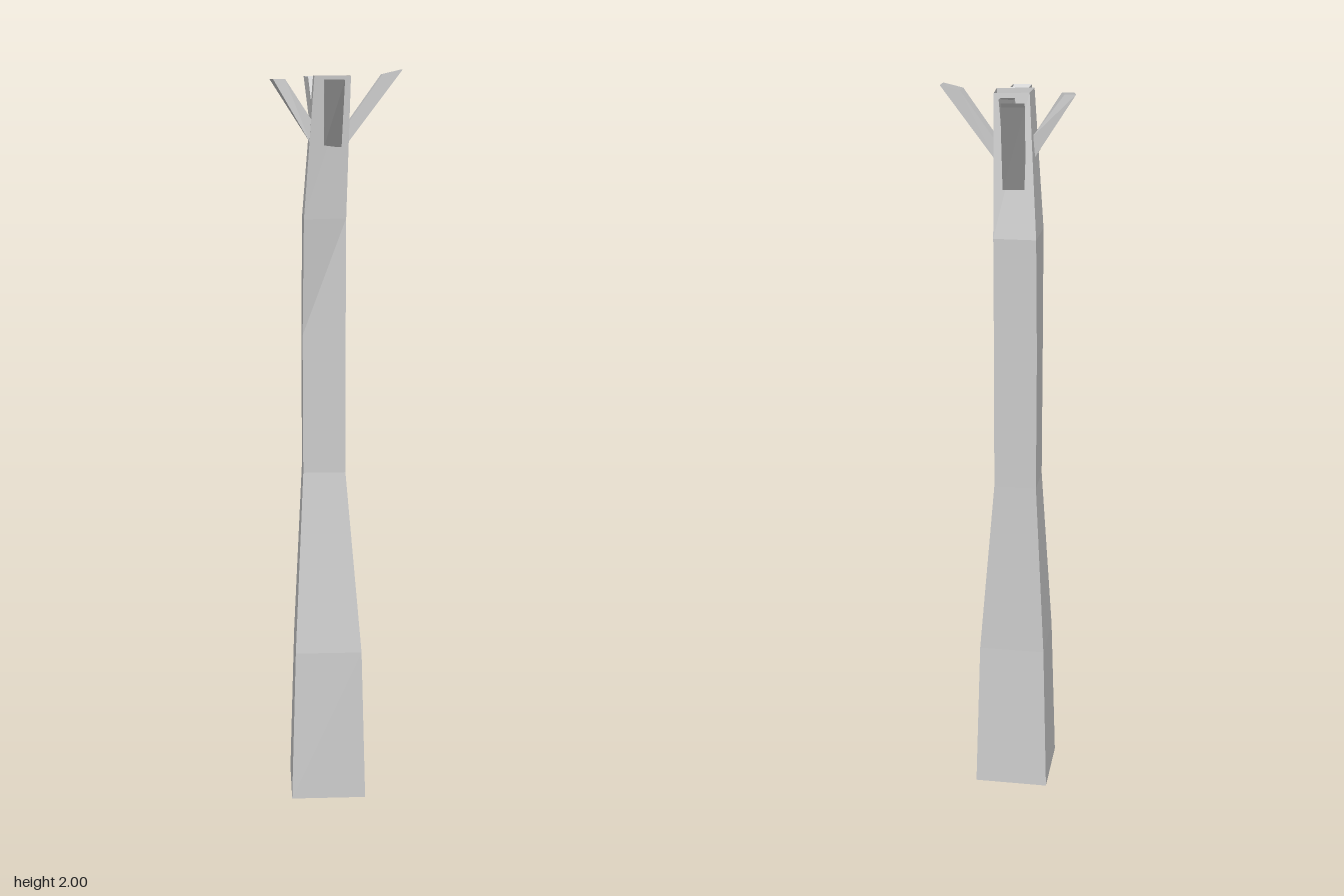
import * as THREE from 'three';

const material = new THREE.MeshStandardMaterial({
  color: 0xcccccc, flatShading: true, side: THREE.DoubleSide,
});

// Open four-sided tube through rings of corners [x, y, z]:
// front right, front left, back left, back right.
function squareTube(name, rings) {
  const index = [];
  for (let r = 0; r < rings.length - 1; r++) {
    for (let j = 0; j < 4; j++) {
      const k = (j + 1) % 4;
      const a = r * 4 + j, b = r * 4 + k;
      index.push(a, b, b + 4, a, b + 4, a + 4);
    }
  }
  const indexed = new THREE.BufferGeometry();
  indexed.setAttribute('position', new THREE.Float32BufferAttribute(rings.flat(2), 3));
  indexed.setIndex(index);
  const geometry = indexed.toNonIndexed();
  geometry.computeVertexNormals();
  const mesh = new THREE.Mesh(geometry, material);
  mesh.name = name;
  return mesh;
}

// Axis-aligned trunk section
const section = (y, x0, x1, z0, z1) => [[x0, y, z1], [x1, y, z1], [x1, y, z0], [x0, y, z0]];

export function createModel() {
  const model = new THREE.Group();
  model.name = 'tree';

  // Hollow trunk: flared foot, narrow middle, twisted top
  model.add(squareTube('trunk', [
    section(0, -0.128, 0.078, -0.075, 0.133),
    section(0.43, -0.115, 0.067, -0.06, 0.122),
    section(0.93, -0.09, 0.025, -0.058, 0.06),
    section(1.31, -0.09, 0.025, -0.058, 0.06),
    [[-0.086, 1.62, 0.086], [0.026, 1.62, 0.06], [0.026, 1.62, -0.058], [-0.086, 1.62, -0.058]],
    [[-0.058, 1.985, 0.098], [0.037, 1.985, 0.073], [0.031, 1.985, -0.015], [-0.058, 1.985, 0.007]],
  ]));

  // Open-ended branches, each leaning out from one wall
  model.add(squareTube('frontBranch', [
    [[-0.033, 1.805, 0.078], [0.013, 1.805, 0.072], [0.013, 1.87, 0.073], [-0.033, 1.87, 0.082]],
    section(1.977, -0.036, 0.014, 0.155, 0.209),
  ]));
  model.add(squareTube('leftBranch', [
    [[0.031, 1.815, 0.047], [0.031, 1.815, 0], [0.031, 1.865, 0], [0.031, 1.865, 0.047]],
    [[0.172, 2, 0.047], [0.172, 2, -0.002], [0.12, 1.988, -0.002], [0.12, 1.988, 0.047]],
  ]));
  model.add(squareTube('backBranch', [
    [[-0.052, 1.83, -0.02], [0.004, 1.83, -0.03], [0.004, 1.745, -0.042], [-0.052, 1.745, -0.038]],
    [[-0.066, 1.98, -0.14], [-0.008, 1.98, -0.148], [-0.017, 1.98, -0.21], [-0.076, 1.98, -0.202]],
  ]));
  model.add(squareTube('rightBranch', [
    [[-0.068, 1.815, 0.086], [-0.062, 1.87, 0.086], [-0.062, 1.87, 0.016], [-0.068, 1.815, 0.022]],
    [[-0.163, 1.977, 0.082], [-0.132, 1.977, 0.08], [-0.143, 1.977, 0.043], [-0.172, 1.977, 0.05]],
  ]));
  model.add(squareTube('backTwig', [
    [[-0.028, 1.925, -0.01], [0.009, 1.925, -0.017], [0.009, 1.885, -0.025], [-0.028, 1.885, -0.018]],
    section(1.98, -0.03, 0.007, -0.085, -0.058),
  ]));

  return model;
}
